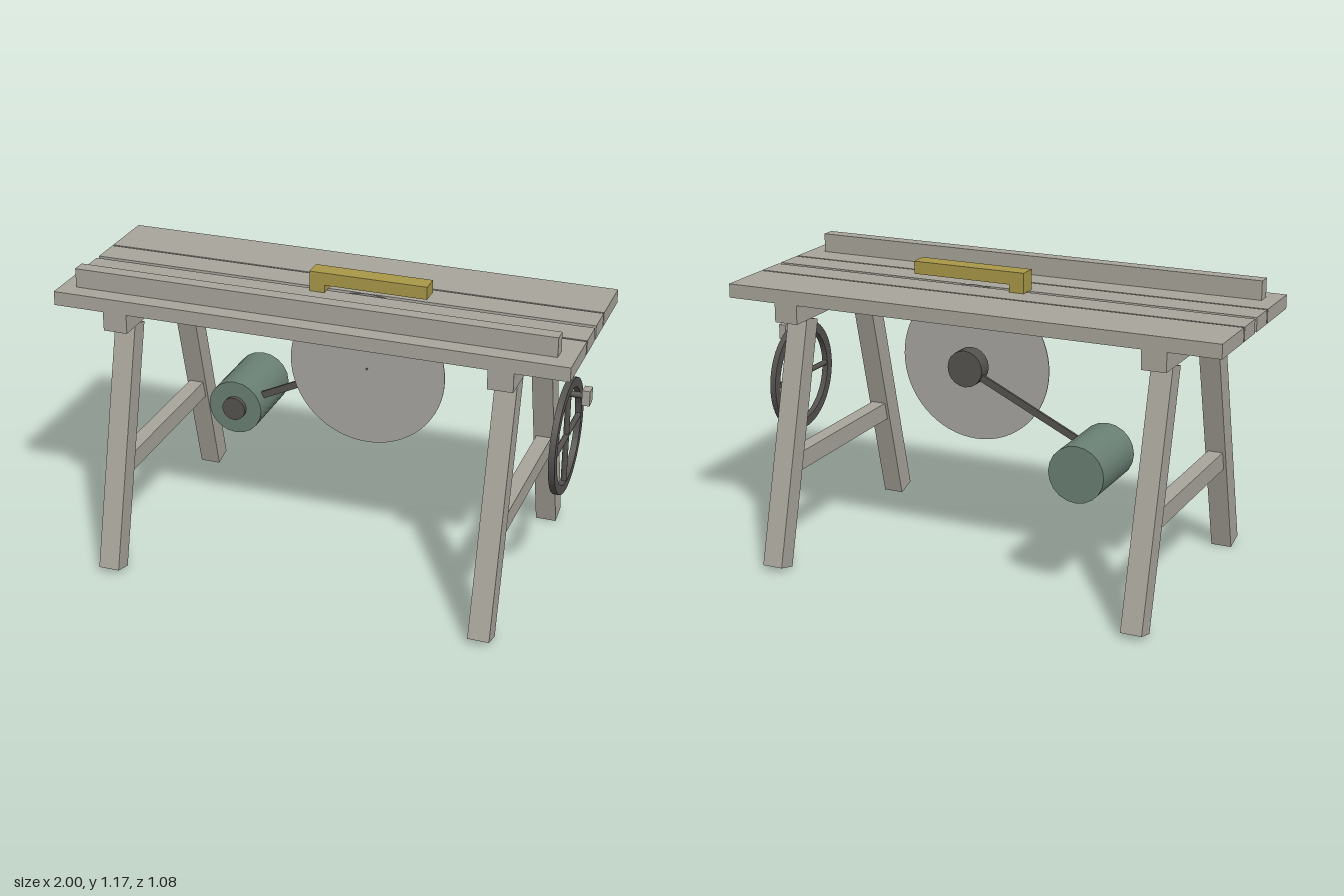
import * as THREE from 'three';

function material(name, color) {
  const m = new THREE.MeshStandardMaterial({ color });
  m.name = name;
  return m;
}

export function createModel() {
  const wood = material('weathered wood', 0xa8a59b);
  const steel = material('steel', 0xa8a6a2);
  const iron = material('dark iron', 0x555350);
  const green = material('motor green', 0x6a8074);
  const brass = material('guard yellow', 0xa89848);

  const model = new THREE.Group();
  model.name = 'tableSaw';

  const add = (name, geometry, mat, x = 0, y = 0, z = 0, parent = model) => {
    const mesh = new THREE.Mesh(geometry, mat);
    mesh.name = name;
    mesh.position.set(x, y, z);
    parent.add(mesh);
    return mesh;
  };

  // Box given by its lower and upper corners
  const block = (name, mat, [x0, y0, z0], [x1, y1, z1], parent) =>
    add(name, new THREE.BoxGeometry(x1 - x0, y1 - y0, z1 - z0), mat,
      (x0 + x1) / 2, (y0 + y1) / 2, (z0 + z1) / 2, parent);

  // Disc or drum whose axis runs along z
  const drum = (name, mat, r, x, y, z0, z1, sides) =>
    add(name, new THREE.CylinderGeometry(r, r, z1 - z0, sides).rotateX(Math.PI / 2),
      mat, x, y, (z0 + z1) / 2);

  // Table top: wide outer planks, narrow inner planks, slot for the blade
  for (const s of [1, -1]) {
    for (const [name, a, b] of [['outerPlank', 0.138, 0.374], ['innerPlank', 0.01, 0.13]]) {
      block(name, wood, [-1, 1.04, Math.min(s * a, s * b)], [1, 1.095, Math.max(s * a, s * b)]);
    }
  }
  block('fence', wood, [-0.94, 1.095, 0.25], [0.935, 1.17, 0.305]);

  // Two trestles: cross beam, splayed legs and stretcher
  for (const x of [-0.75, 0.75]) {
    const trestle = new THREE.Group();
    trestle.name = 'trestle';
    trestle.position.x = x;
    model.add(trestle);
    block('crossBeam', wood, [-0.048, 0.965, -0.374], [0.048, 1.04, 0.374], trestle);
    block('stretcher', wood, [-0.03, 0.365, -0.37], [0.03, 0.439, 0.37], trestle);
    for (const s of [1, -1]) {
      const leg = add('leg', new THREE.BoxGeometry(0.083, 0.98, 0.083), wood,
        0, 0.485, s * 0.374, trestle);
      leg.rotation.x = -s * THREE.MathUtils.degToRad(15);
    }
  }

  // Blade, arbor and driven pulley
  const hub = new THREE.Vector2(0.125, 0.787);
  drum('blade', steel, 0.312, hub.x, hub.y, -0.002, 0.002, 64);
  drum('arbor', iron, 0.005, hub.x, hub.y, -0.04, 0.004, 10);
  drum('bladePulley', iron, 0.073, hub.x, hub.y, -0.1, -0.037, 20);

  // Motor with its pulley
  const shaft = new THREE.Vector2(-0.44, 0.516);
  drum('motor', green, 0.111, shaft.x, shaft.y, -0.33, -0.027, 20);
  drum('motorPulley', iron, 0.048, shaft.x, shaft.y, -0.03, -0.009, 20);

  // Drive belt between motor and blade
  const run = hub.clone().sub(shaft);
  const belt = add('driveBelt', new THREE.BoxGeometry(run.length(), 0.028, 0.011), iron,
    (hub.x + shaft.x) / 2, (hub.y + shaft.y) / 2, -0.082);
  belt.rotation.z = run.angle();

  // Blade guard: raised bar on a foot at one end
  block('guardBar', brass, [-0.095, 1.125, -0.037], [0.37, 1.175, 0.037]);
  block('guardFoot', brass, [-0.095, 1.095, -0.037], [-0.035, 1.125, 0.037]);

  // Handwheel: flat rim, crossed spokes and crank handle
  const wheel = new THREE.Group();
  wheel.name = 'handwheel';
  wheel.position.set(0.915, 0.638, 0);
  model.add(wheel);
  const ring = new THREE.Shape().absarc(0, 0, 0.224, 0, Math.PI * 2);
  ring.holes.push(new THREE.Path().absarc(0, 0, 0.187, 0, Math.PI * 2, true));
  const rim = new THREE.ExtrudeGeometry(ring, { depth: 0.024, bevelEnabled: false, curveSegments: 32 });
  add('rim', rim.translate(0, 0, -0.012).rotateY(Math.PI / 2), iron, 0, 0, 0, wheel);
  for (const angle of [0, Math.PI / 2]) {
    const spoke = add('spoke', new THREE.CylinderGeometry(0.011, 0.011, 0.39, 10), iron, 0, 0, 0, wheel);
    spoke.rotation.x = angle;
  }
  add('handleShaft', new THREE.CylinderGeometry(0.012, 0.012, 0.06, 10).rotateZ(Math.PI / 2),
    iron, 0.03, 0.176, 0, wheel);
  add('handleGrip', new THREE.BoxGeometry(0.03, 0.06, 0.046), wood, 0.07, 0.176, 0, wheel);

  return model;
}
